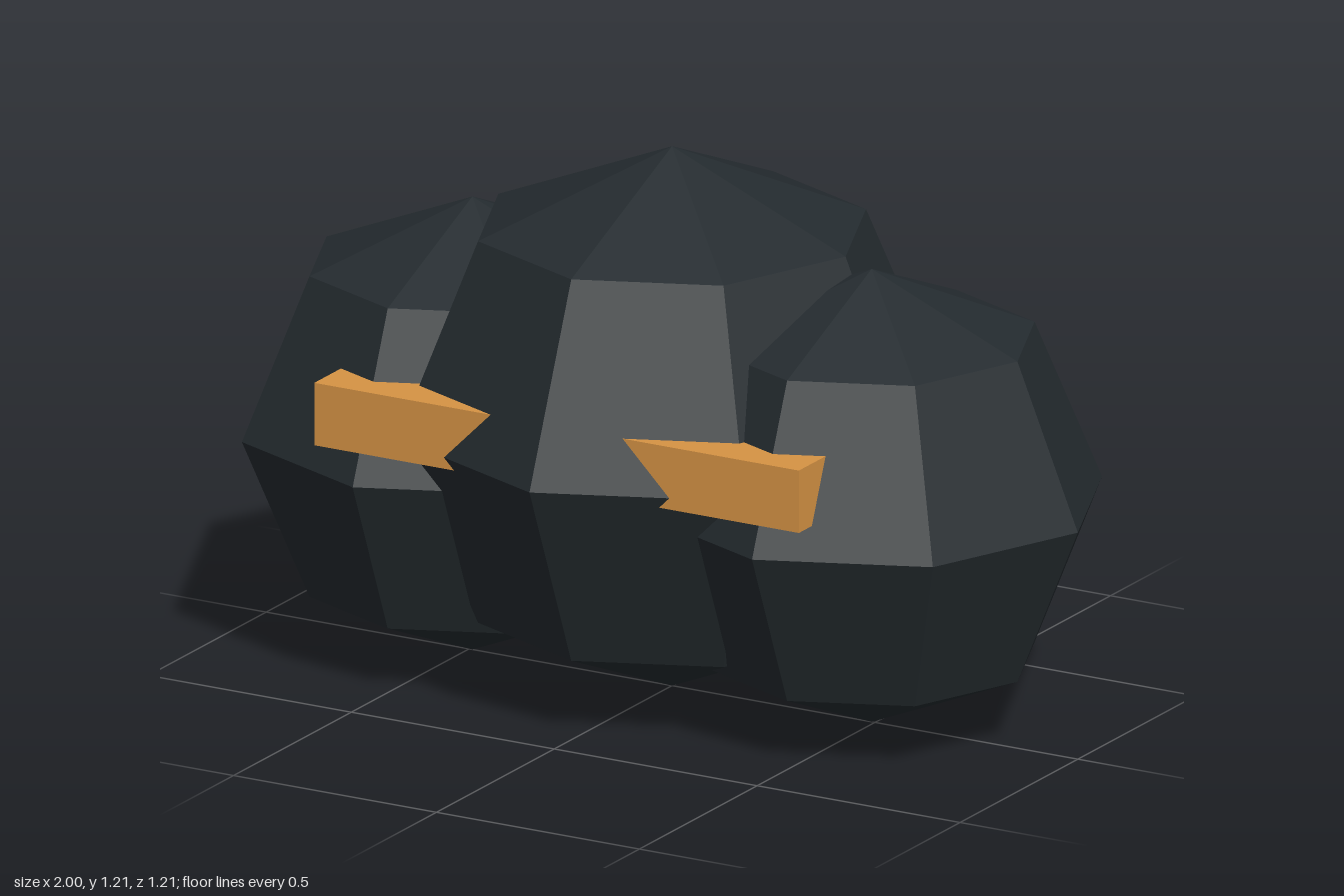
import * as THREE from 'three';

export function createModel() {
  const model = new THREE.Group();
  const dark = new THREE.MeshStandardMaterial({ color: 0x242b2f, flatShading: true });
  const orange = new THREE.MeshStandardMaterial({ color: 0xd69344, flatShading: true });

  // Faceted lobe resting on the ground
  const addLobe = (name, radius, x) => {
    const lobe = new THREE.Mesh(new THREE.SphereGeometry(radius, 8, 4), dark);
    lobe.name = name;
    lobe.position.set(x, radius, 0);
    model.add(lobe);
  };
  addLobe('centreLobe', 0.605, 0);

  for (const [side, s] of [['left', 1], ['right', -1]]) {
    addLobe(side + 'Lobe', 0.508, s * 0.492);

    // Bar eye, its back sunk into the lobes
    const eye = new THREE.Mesh(new THREE.BoxGeometry(0.5, 0.14, 0.2), orange);
    eye.name = side + 'Eye';
    eye.position.set(s * 0.347, 0.65, 0.39);
    model.add(eye);
  }
  return model;
}
